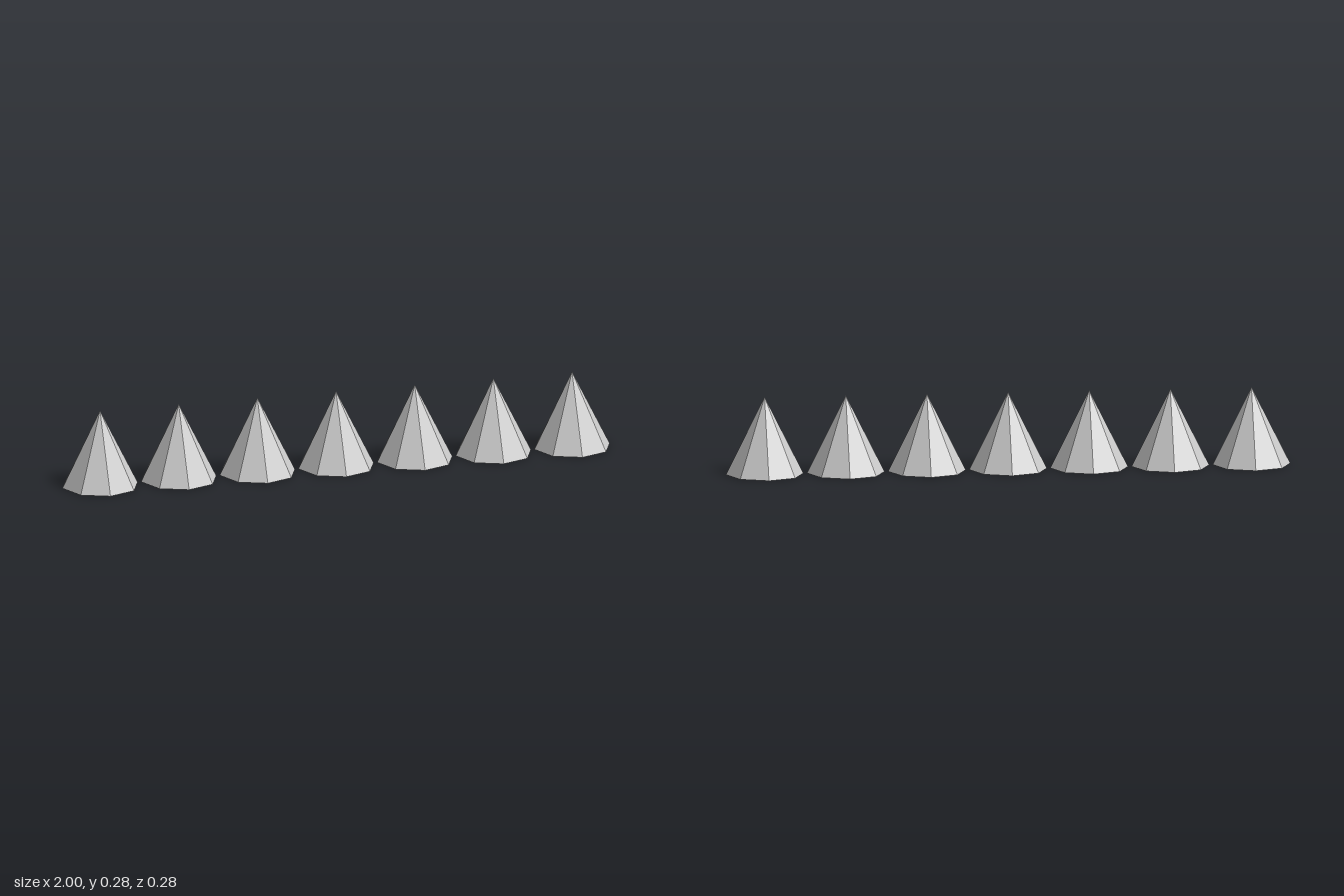
import * as THREE from 'three';

const COUNT = 7, RADIUS = 0.1375, HEIGHT = 0.275, SIDES = 8;

export function createModel() {
  const group = new THREE.Group();
  group.name = 'spikeRow';
  const material = new THREE.MeshStandardMaterial({ color: 0xcccccc, flatShading: true });

  // Eight-sided closed spike standing on the ground
  const geometry = new THREE.ConeGeometry(RADIUS, HEIGHT, SIDES);
  geometry.translate(0, HEIGHT / 2, 0);

  // Even row along x, 2 units from end to end
  const spacing = (2 - 2 * RADIUS) / (COUNT - 1);
  for (let i = 0; i < COUNT; i++) {
    const spike = new THREE.Mesh(geometry, material);
    spike.name = `spike${i + 1}`;
    spike.position.x = (i - (COUNT - 1) / 2) * spacing;
    group.add(spike);
  }
  return group;
}
